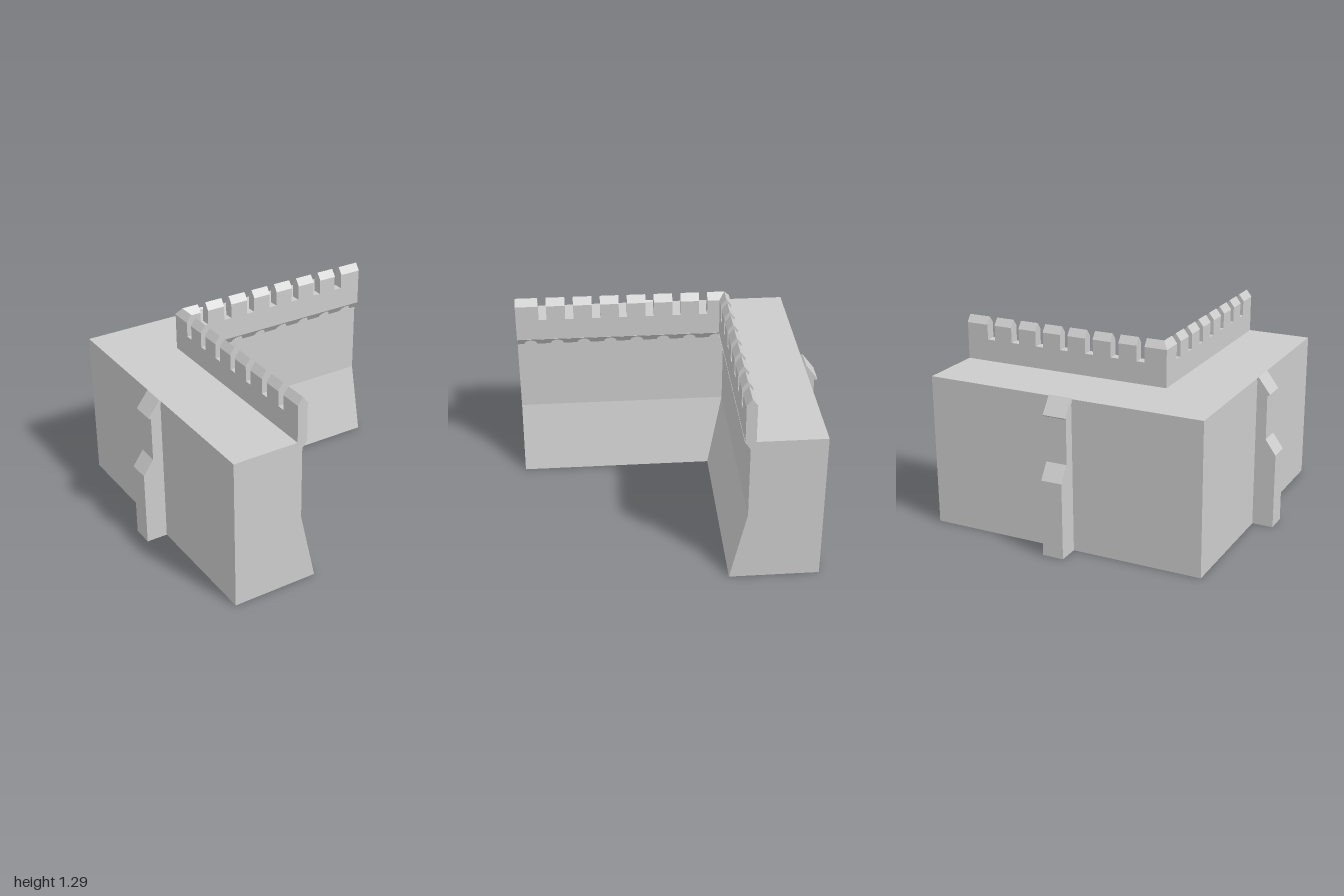
import * as THREE from 'three';

const material = new THREE.MeshStandardMaterial({ color: 0xcccccc, flatShading: true, side: THREE.DoubleSide });

const INNER = -0.395, OUTER = -0.86, PITCH = 0.179;

function add(parent, name, geometry) {
  const mesh = new THREE.Mesh(geometry, material);
  mesh.name = name;
  parent.add(mesh);
  return mesh;
}

// Profiles are [z, y] points; a start of null means a mitred 45 degree corner (x = z)
const startX = (x0, z) => (x0 === null ? z : x0);

// Open skin following a profile from x0 to x1
function strip(profile, x0, x1) {
  const pos = [];
  for (let i = 0; i < profile.length - 1; i++) {
    const [z0, y0] = profile[i], [z1, y1] = profile[i + 1];
    const a0 = [startX(x0, z0), y0, z0], a1 = [startX(x0, z1), y1, z1];
    const b0 = [x1, y0, z0], b1 = [x1, y1, z1];
    pos.push(...a0, ...a1, ...b0, ...a1, ...b1, ...b0);
  }
  const g = new THREE.BufferGeometry();
  g.setAttribute('position', new THREE.Float32BufferAttribute(pos, 3));
  g.computeVertexNormals();
  return g;
}

// Flat profile face at x, looking towards +x (dir 1) or -x (dir -1)
function profileFace(profile, x, dir) {
  const shape = new THREE.Shape(profile.map(([z, y]) => new THREE.Vector2(-dir * z, y)));
  return new THREE.ShapeGeometry(shape).rotateY(dir * Math.PI / 2).translate(x, 0, 0);
}

// Solid bar with a profile, from x0 (or the mitre) to x1
function prism(profile, x0, x1) {
  const shape = new THREE.Shape(profile.map(([z, y]) => new THREE.Vector2(-z, y)));
  const g = new THREE.ExtrudeGeometry(shape, { depth: 1, bevelEnabled: false }).rotateY(Math.PI / 2);
  const p = g.attributes.position;
  for (let i = 0; i < p.count; i++) p.setX(i, p.getX(i) > 0.5 ? x1 : startX(x0, p.getZ(i)));
  g.computeVertexNormals();
  return g;
}

const rect = (z0, z1, y0, y1) => [[z0, y0], [z0, y1], [z1, y1], [z1, y0]];

// Row of little arches under the parapet, sheared so the front leans outwards
function corbelGeometry() {
  const y0 = 0.95, y1 = 1, r = 0.043;
  const shape = new THREE.Shape();
  shape.moveTo(INNER, y0);
  for (let k = 0; k < 8; k++) {
    const c = -0.342 + PITCH * k;
    shape.lineTo(c - r, y0);
    shape.absellipse(c, y0, r, 0.04, Math.PI, 0, true, 0);
  }
  shape.lineTo(1, y0);
  shape.lineTo(1, y1);
  shape.lineTo(INNER, y1);
  const g = new THREE.ExtrudeGeometry(shape, { depth: 1, bevelEnabled: false, curveSegments: 8 });
  const p = g.attributes.position;
  for (let i = 0; i < p.count; i++) p.setZ(i, INNER + p.getZ(i) * (p.getY(i) - y0) * 0.7);
  g.computeVertexNormals();
  return g;
}

function createArm() {
  const arm = new THREE.Group();

  // Hollow wall, open underneath, with a battered foot on the inner side
  const skin = [[OUTER, 1], [INNER, 1], [INNER, 0.47], [-0.29, 0]];
  add(arm, 'wallTopAndInnerFace', strip(skin, null, 1));
  add(arm, 'wallEnd', profileFace([[OUTER, 0], ...skin], 1, 1));

  // Outer face, open behind the buttress
  const bx0 = 0, bx1 = 0.14;
  const outer = [[OUTER, 0], [OUTER, 1], [1, 1], [1, 0], [bx1, 0], [bx1, 0.95], [bx0, 0.95], [bx0, 0]];
  const outerShape = new THREE.Shape(outer.map(([x, y]) => new THREE.Vector2(-x, y)));
  add(arm, 'wallOuterFace', new THREE.ShapeGeometry(outerShape).rotateY(Math.PI).translate(0, 0, OUTER));

  // Stepped buttress with a sloping cap slab
  const buttress = new THREE.Group();
  buttress.name = 'buttress';
  const step = [[-1, 0], [-1, 0.5], [-0.93, 0.6], [-0.93, 0.91], [OUTER, 0.99]];
  add(buttress, 'buttressFace', strip(step, bx0, bx1));
  add(buttress, 'buttressSide', profileFace([[OUTER, 0], ...step], bx0, -1));
  add(buttress, 'buttressSide', profileFace([[OUTER, 0], ...step], bx1, 1));
  const slab = [[-0.95, 0.905], [-0.87, 1.01], [OUTER, 1], [OUTER, 0.985], [-0.938, 0.895]];
  add(buttress, 'buttressCap', prism(slab, bx0 - 0.007, bx1 + 0.007));
  arm.add(buttress);

  // Parapet carried on the arched corbel
  add(arm, 'archedCorbel', corbelGeometry());
  add(arm, 'parapet', prism(rect(-0.428, -0.362, 1, 1.145), null, 1));

  // Merlons with gabled caps; the first one turns the corner
  for (let k = 0; k < 8; k++) {
    const x0 = k === 0 ? null : -0.224 + PITCH * (k - 1);
    const x1 = k === 7 ? 1 : -0.279 + PITCH * k;
    add(arm, 'merlon', prism(rect(-0.428, -0.362, 1.145, 1.247), x0, x1));
    add(arm, 'merlonCap', prism([[-0.431, 1.245], [-0.395, 1.292], [-0.359, 1.245]], x0, x1));
  }
  return arm;
}

export function createModel() {
  const model = new THREE.Group();
  model.name = 'cornerWall';

  const backArm = createArm();
  backArm.name = 'backWall';

  // Same arm with x and z swapped
  const sideArm = createArm();
  sideArm.name = 'sideWall';
  sideArm.scale.x = -1;
  sideArm.rotation.y = Math.PI / 2;

  model.add(backArm, sideArm);
  return model;
}
